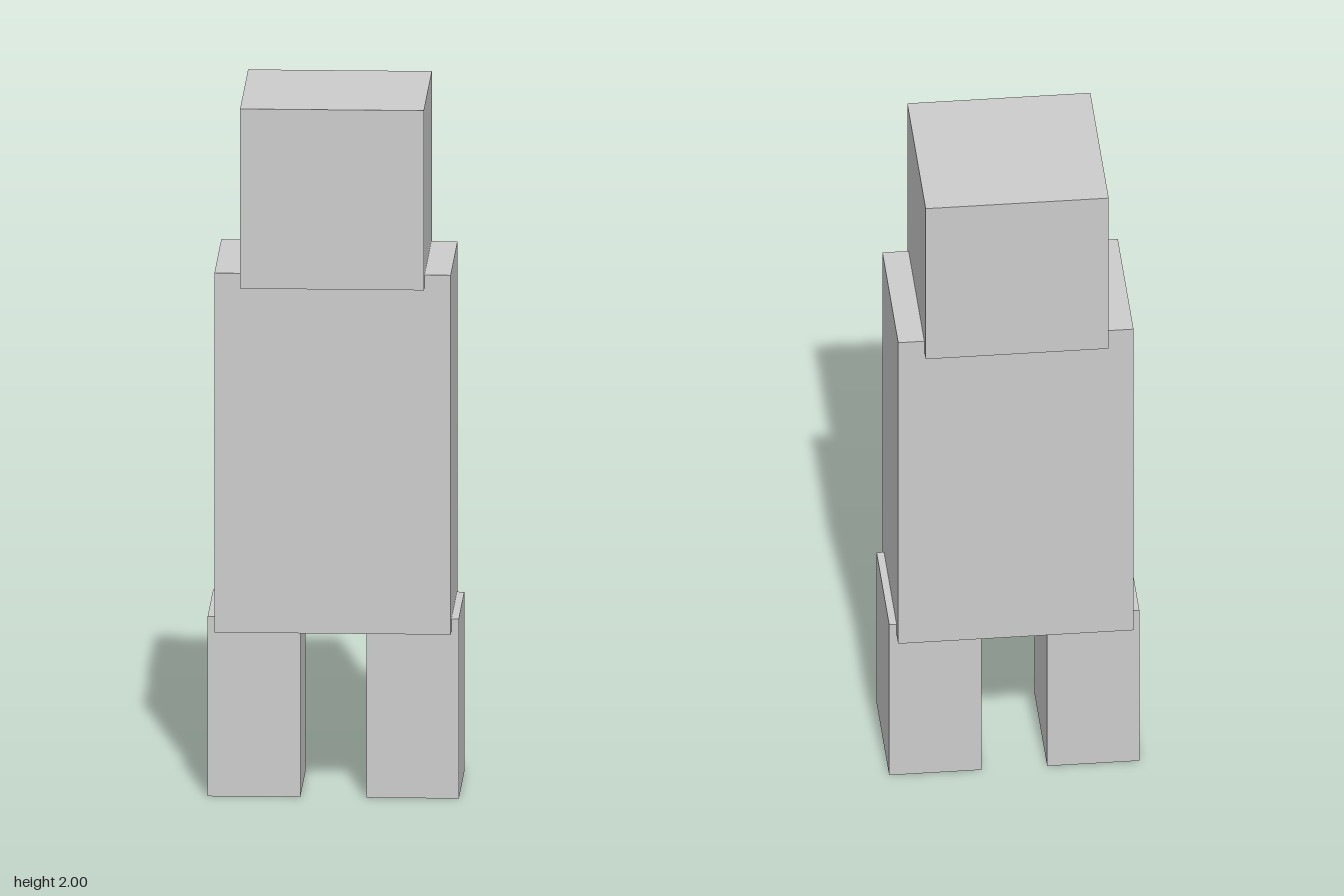
import * as THREE from 'three';

export function createModel() {
  const model = new THREE.Group();
  const material = new THREE.MeshStandardMaterial({ color: 0xcccccc, flatShading: true });

  // Box centred on z = 0, standing on the given bottom height
  function addBox(name, width, height, depth, x, bottom) {
    const mesh = new THREE.Mesh(new THREE.BoxGeometry(width, height, depth), material);
    mesh.name = name;
    mesh.position.set(x, bottom + height / 2, 0);
    model.add(mesh);
  }

  // Head and torso overlap slightly, as do torso and legs
  addBox('head', 0.518, 0.518, 0.518, 0, 1.482);
  addBox('torso', 0.666, 1.036, 0.444, 0, 0.482);

  // Mirrored legs
  for (const [name, side] of [['leftLeg', 1], ['rightLeg', -1]]) {
    addBox(name, 0.261, 0.518, 0.355, side * 0.2235, 0);
  }

  return model;
}
